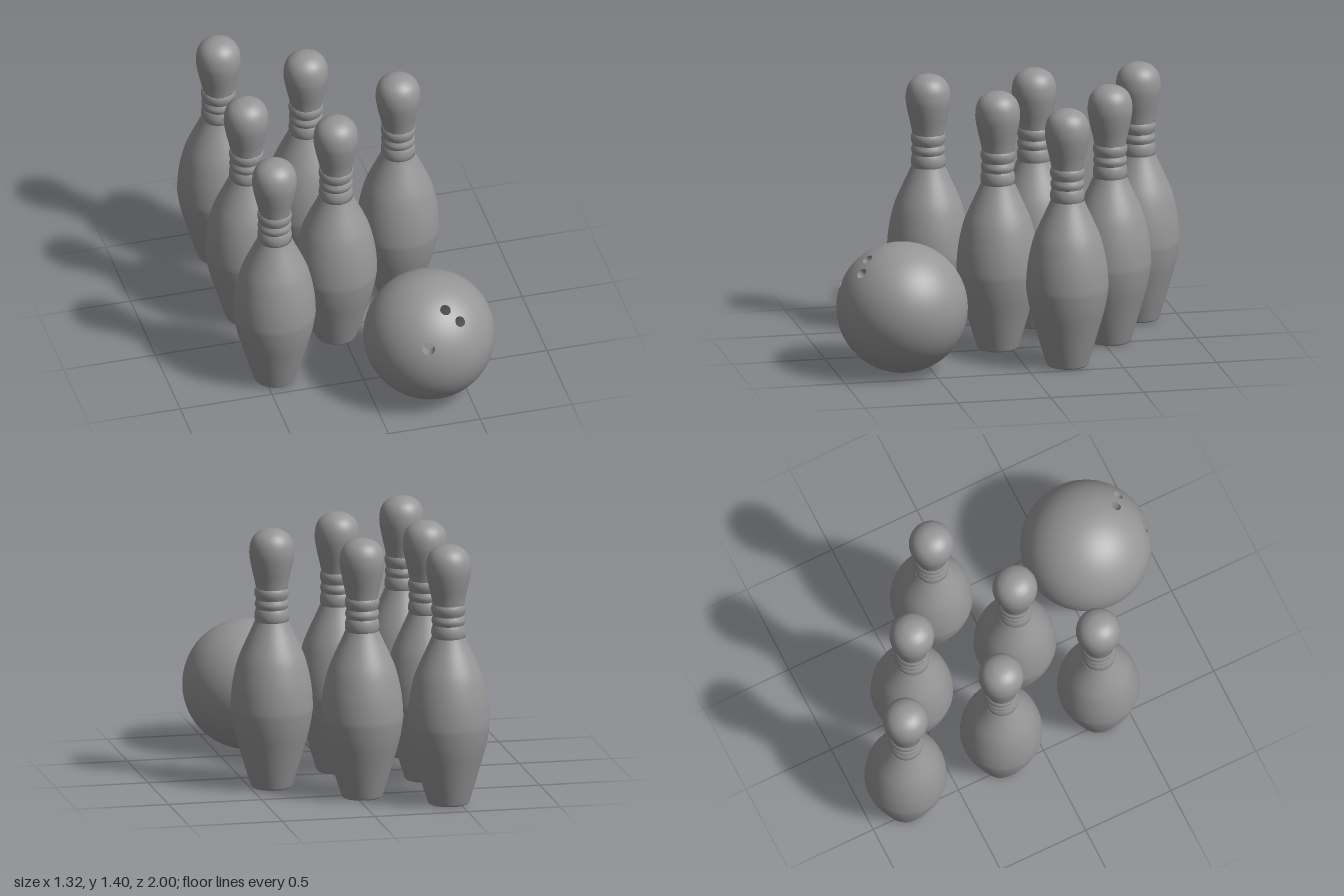
import * as THREE from 'three';

const material = new THREE.MeshStandardMaterial({ color: 0x969696, side: THREE.DoubleSide });

// Lathe a smooth curve through [radius, height] points
function turned(name, points, steps) {
  const curve = new THREE.SplineCurve(points.map(([r, y]) => new THREE.Vector2(r, y)));
  const profile = curve.getPoints(steps);
  profile.forEach((p) => { p.x = Math.max(p.x, 0); });
  const mesh = new THREE.Mesh(new THREE.LatheGeometry(profile, 64), material);
  mesh.name = name;
  return mesh;
}

function makePin() {
  const pin = new THREE.Group();
  // Flat foot with a small rounded edge
  const foot = new THREE.Mesh(new THREE.CircleGeometry(0.1, 64).rotateX(Math.PI / 2), material);
  foot.name = 'foot';
  pin.add(foot);
  // Belly, from the rounded foot edge to the neck
  pin.add(turned('belly', [[0.1, 0], [0.107, 0.005], [0.113, 0.02], [0.138, 0.1], [0.167, 0.2], [0.198, 0.31],
    [0.214, 0.4], [0.217, 0.45], [0.208, 0.56], [0.182, 0.68], [0.151, 0.76], [0.119, 0.83], [0.099, 0.875],
    [0.089, 0.9]], 39));
  // Neck bands, each bulged with a groove between
  const edges = [0.897, 0.967, 1.017, 1.077];
  const radii = [0.089, 0.087, 0.086, 0.09];
  for (let i = 0; i < 3; i++) {
    const [a, b, r, s] = [edges[i], edges[i + 1], radii[i], radii[i + 1]];
    pin.add(turned('neckBand', [[r - 0.005, a], [r, a + 0.012], [(r + s) / 2 + 0.003, (a + b) / 2],
      [s, b - 0.012], [s - 0.005, b]], 8));
  }
  // Head
  pin.add(turned('head', [[0.083, 1.077], [0.091, 1.12], [0.105, 1.18], [0.116, 1.24], [0.118, 1.28],
    [0.111, 1.325], [0.09, 1.362], [0.055, 1.386], [0.025, 1.394], [0, 1.396]], 27));
  return pin;
}

// Sphere with round openings: points inside an opening slide out to its rim
function drilledSphere(radius, holes) {
  const sphere = new THREE.SphereGeometry(radius, 160, 112);
  const pos = sphere.attributes.position, normal = sphere.attributes.normal;
  const inside = new Array(pos.count).fill(false);
  const v = new THREE.Vector3(), side = new THREE.Vector3();
  for (let i = 0; i < pos.count; i++) {
    v.fromBufferAttribute(pos, i).normalize();
    for (const { axis, r } of holes) {
      const rim = Math.asin(r / radius);
      if (v.angleTo(axis) > rim) continue;
      inside[i] = true;
      side.copy(v).addScaledVector(axis, -v.dot(axis)).normalize();
      v.copy(axis).multiplyScalar(Math.cos(rim)).addScaledVector(side, Math.sin(rim));
      normal.setXYZ(i, v.x, v.y, v.z);
      pos.setXYZ(i, v.x * radius, v.y * radius, v.z * radius);
    }
  }
  const kept = [], index = sphere.index.array;
  for (let i = 0; i < index.length; i += 3) {
    const face = [index[i], index[i + 1], index[i + 2]];
    if (!face.every((k) => inside[k])) kept.push(...face);
  }
  sphere.setIndex(kept);
  return sphere;
}

function makeBall() {
  const ball = new THREE.Group();
  ball.name = 'ball';
  const radius = 0.346, depth = 0.14;
  // Thumb hole and two finger holes
  const holes = [[-0.087, 0.131, 0.308, 0.034], [0.036, 0.283, 0.195, 0.029], [0.104, 0.226, 0.24, 0.029]]
    .map(([x, y, z, r]) => ({ axis: new THREE.Vector3(x, y, z).normalize(), r }));
  const shell = new THREE.Mesh(drilledSphere(radius, holes), material);
  shell.name = 'ballShell';
  ball.add(shell);
  for (const { axis, r } of holes) {
    const hole = new THREE.Group();
    hole.name = 'fingerHole';
    const top = Math.sqrt(radius * radius - r * r);
    const wall = new THREE.Mesh(
      new THREE.CylinderGeometry(r, r, depth, 32, 1, true).translate(0, top - depth / 2, 0), material);
    wall.name = 'holeWall';
    const floor = new THREE.Mesh(
      new THREE.CircleGeometry(r, 32).rotateX(-Math.PI / 2).translate(0, top - depth, 0), material);
    floor.name = 'holeFloor';
    hole.add(wall, floor);
    hole.quaternion.setFromUnitVectors(new THREE.Vector3(0, 1, 0), axis);
    ball.add(hole);
  }
  ball.position.set(0.316, radius + 0.002, 0.653);
  return ball;
}

export function createModel() {
  const model = new THREE.Group();
  model.name = 'bowlingSet';
  // Triangle of pins
  const pin = makePin();
  const spots = [[0.383, -0.222], [-0.033, 0.063], [-0.033, -0.542], [-0.445, 0.349], [-0.445, -0.222], [-0.445, -0.783]];
  spots.forEach(([x, z], i) => {
    const copy = pin.clone();
    copy.name = 'pin' + (i + 1);
    copy.position.set(x, 0, z);
    model.add(copy);
  });
  model.add(makeBall());
  return model;
}
